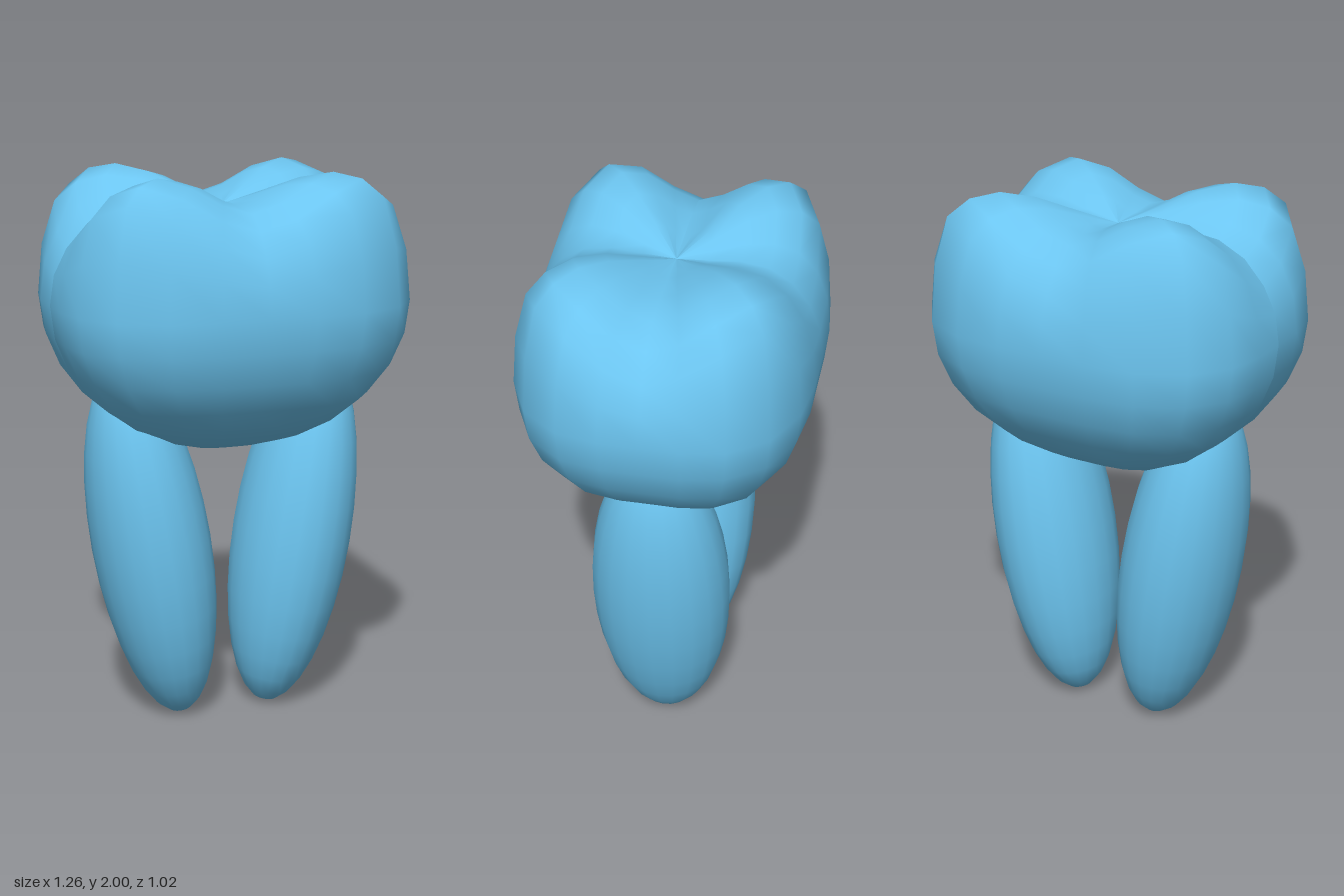
import * as THREE from 'three';

const blue = new THREE.MeshStandardMaterial({ color: 0x6cc5f0 });

// Rounded-rectangular crown with four cusps around a central pit
function crownGeometry() {
  const g = new THREE.SphereGeometry(1, 24, 14);
  const p = g.attributes.position;
  for (let i = 0; i < p.count; i++) {
    const x = p.getX(i), y = p.getY(i), z = p.getZ(i);
    const s = Math.hypot(x, z);
    const corner = s > 1e-6 ? (2 * x * z / (s * s)) ** 2 : 0; // 1 on the diagonals
    const square = 1 + 0.14 * corner;
    const top = THREE.MathUtils.smoothstep(y, 0, 0.45);       // only the chewing side
    const pit = -0.21 * Math.exp(-((s / 0.68) ** 2));
    const cusp = 0.2 * s * corner;
    p.setXYZ(i, x * square * 0.63, 1.55 + 0.54 * y + top * (pit + cusp), z * square * 0.51);
  }
  g.computeVertexNormals();
  return g;
}

export function createModel() {
  const model = new THREE.Group();
  model.name = 'tooth';

  const crown = new THREE.Mesh(crownGeometry(), blue);
  crown.name = 'crown';
  model.add(crown);

  // Two long roots, leaning outward towards the crown
  const rootGeometry = new THREE.SphereGeometry(1, 20, 16);
  for (const side of [1, -1]) {
    const root = new THREE.Mesh(rootGeometry, blue);
    root.name = side > 0 ? 'leftRoot' : 'rightRoot';
    root.scale.set(0.214, 0.668, 0.25);
    root.position.set(side * 0.273, 0.664, 0);
    root.rotation.z = -side * 0.163;
    model.add(root);
  }
  return model;
}
